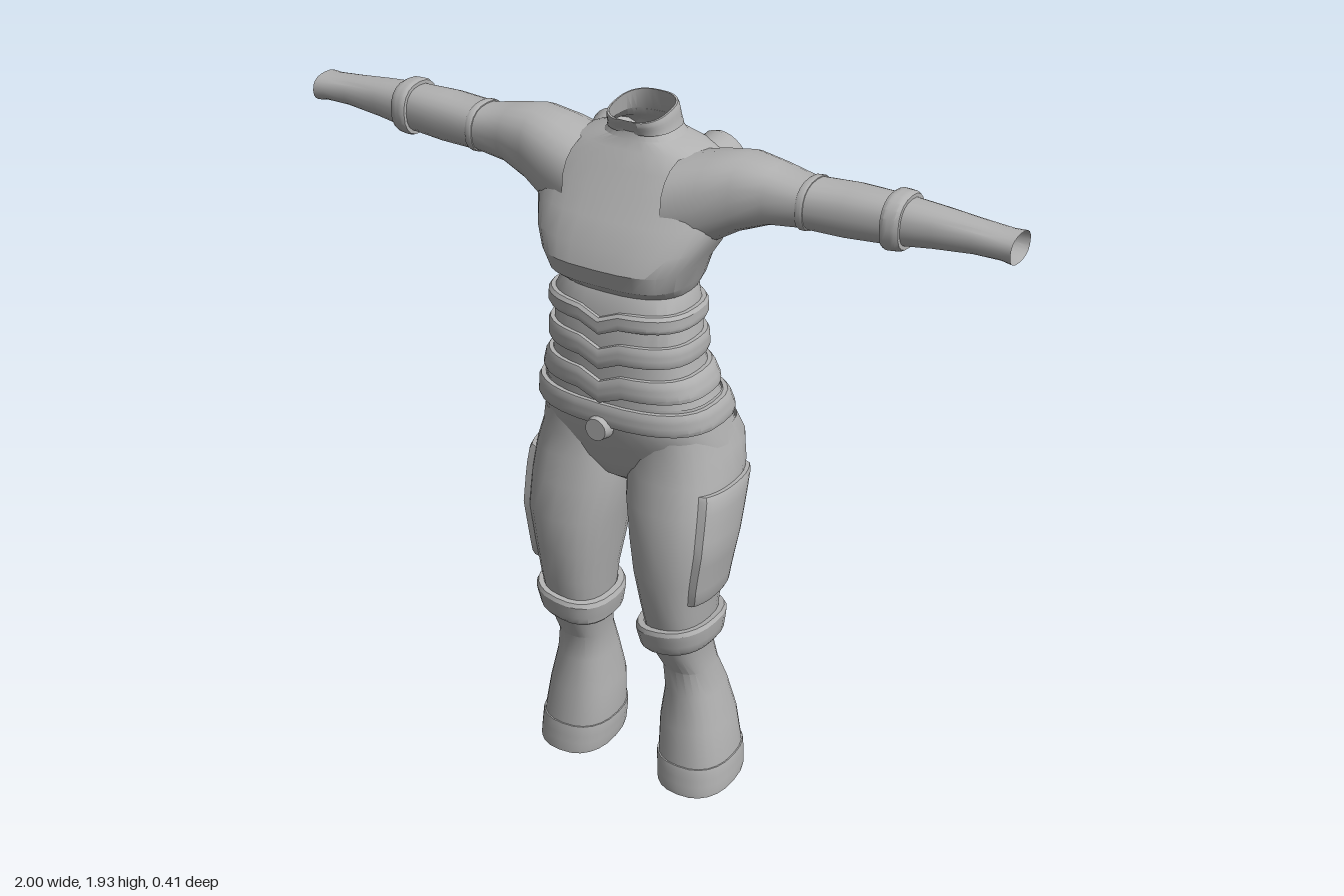
import * as THREE from 'three';
import { toCreasedNormals } from 'three/addons/utils/BufferGeometryUtils.js';

const cloth = new THREE.MeshStandardMaterial({ color: 0xb2b2b2 });
cloth.name = 'greyCloth';
cloth.side = THREE.DoubleSide;

// A ring is [t, a0, a1, b0, b1, power, outset]: a rounded box outline at station t.
// Upright parts use t = y, a = x, b = z; arms use t = x, a = y, b = z.
const upright = (t, a, b) => [a, t, b];
const sideways = (t, a, b) => [t, a, b];

function loft(name, rings, { map = upright, arc = [0, Math.PI * 2], n = 32, warp, side = 1 } = {}) {
  const pos = [], index = [];
  const open = arc[1] - arc[0] < 6.28;
  for (const [t, a0, a1, b0, b1, power = 2.4, outset = 0] of rings) {
    for (let i = 0; i <= n; i++) {
      const u = arc[0] + (arc[1] - arc[0]) * i / n;
      const d = open && (i === 0 || i === n) ? 0 : outset;
      const bend = v => (Math.abs(v) < 1e-6 ? 0 : Math.sign(v) * Math.abs(v) ** (2 / power));
      const a = (a0 + a1) / 2 + ((a1 - a0) / 2 + d) * bend(Math.cos(u));
      const b = (b0 + b1) / 2 + ((b1 - b0) / 2 + d) * bend(Math.sin(u));
      const p = map(t, a, b);
      if (warp) p[1] = warp(...p);
      pos.push(p[0] * side, p[1], p[2]);
    }
  }
  for (let r = 0; r < rings.length - 1; r++) {
    for (let i = 0; i < n; i++) {
      const p = r * (n + 1) + i, q = p + n + 1;
      index.push(p, q, p + 1, p + 1, q, q + 1);
    }
  }
  const g = new THREE.BufferGeometry();
  g.setAttribute('position', new THREE.Float32BufferAttribute(pos, 3));
  g.setIndex(index);
  const mesh = new THREE.Mesh(toCreasedNormals(g, 0.5), cloth);
  mesh.name = name;
  return mesh;
}

// Outline of a lofted part at any station, pushed out by d
function at(rings, t, d) {
  let i = 0;
  const up = rings[1][0] > rings[0][0];
  while (i < rings.length - 2 && (up ? t > rings[i + 1][0] : t < rings[i + 1][0])) i++;
  const p = rings[i], q = rings[i + 1], k = (t - p[0]) / (q[0] - p[0]);
  const r = [0, 1, 2, 3, 4, 5].map(j => THREE.MathUtils.lerp(p[j] ?? 2.4, q[j] ?? 2.4, k));
  r[6] = d;
  return r;
}

// Raised strip that follows a lofted part between two stations
function band(name, rings, t0, t1, d, options = {}) {
  const { steps = 3, ...rest } = options;
  const e = Math.min(Math.abs(t1 - t0) * 0.2, 0.012) * Math.sign(t1 - t0);
  const list = [at(rings, t0, 0), at(rings, t0, d * 0.7)];
  for (let i = 0; i <= steps; i++) list.push(at(rings, t0 + e + (t1 - t0 - 2 * e) * i / steps, d));
  list.push(at(rings, t1, d * 0.7), at(rings, t1, 0));
  return loft(name, list, rest);
}

const sym = (y, w, back, front, power = 2.6) => [y, -w, w, back, front, power];

const torso = [
  sym(1.18, 0.235, -0.14, 0.165), sym(1.3, 0.195, -0.1, 0.168), sym(1.45, 0.19, -0.09, 0.168),
  sym(1.49, 0.175, -0.095, 0.15), sym(1.52, 0.19, -0.105, 0.185, 3), sym(1.57, 0.205, -0.12, 0.203, 3),
  sym(1.62, 0.235, -0.135, 0.187, 2.8), sym(1.68, 0.26, -0.15, 0.15), sym(1.74, 0.268, -0.16, 0.11),
  sym(1.79, 0.25, -0.163, 0.08), sym(1.83, 0.175, -0.15, 0.055), sym(1.853, 0.1, -0.13, 0.04),
  sym(1.875, 0.08, -0.115, 0.036), sym(1.918, 0.074, -0.105, 0.052),
];
const pelvis = [
  sym(1.2, 0.235, -0.135, 0.165), sym(1.12, 0.248, -0.175, 0.163), sym(1.06, 0.26, -0.195, 0.138),
  sym(1.0, 0.2, -0.165, 0.125), sym(0.95, 0.08, -0.12, 0.1), sym(0.915, 0.012, -0.06, 0.05),
];
const arm = [
  [0.14, 1.6, 1.83, -0.14, 0.12], [0.22, 1.62, 1.847, -0.14, 0.1], [0.3, 1.668, 1.86, -0.125, 0.075],
  [0.38, 1.7, 1.847, -0.11, 0.055], [0.46, 1.71, 1.83, -0.1, 0.045], [0.58, 1.71, 1.838, -0.1, 0.04],
  [0.7, 1.717, 1.835, -0.096, 0.028], [0.8, 1.73, 1.827, -0.09, 0.017], [0.9, 1.74, 1.816, -0.088, 0.01],
  [0.97, 1.742, 1.81, -0.088, 0.012], [1.0, 1.737, 1.81, -0.095, 0.016],
];
const leg = [
  [1.1, 0.02, 0.25, -0.17, 0.13], [1.04, 0, 0.265, -0.203, 0.13], [0.98, 0, 0.28, -0.187, 0.14],
  [0.9, 0.008, 0.285, -0.15, 0.155], [0.8, 0.03, 0.283, -0.115, 0.168], [0.7, 0.045, 0.265, -0.1, 0.163],
  [0.6, 0.065, 0.25, -0.085, 0.15], [0.52, 0.075, 0.243, -0.075, 0.13], [0.45, 0.088, 0.232, -0.068, 0.11],
  [0.38, 0.1, 0.235, -0.085, 0.07], [0.3, 0.1, 0.25, -0.12, 0.065], [0.2, 0.085, 0.275, -0.145, 0.078],
  [0.1, 0.083, 0.292, -0.15, 0.087], [0.01, 0.09, 0.298, -0.148, 0.096],
];

// The collar rises to the back, the hem lifts at the heel
const collarSlope = (x, y, z) => (y > 1.86 ? y - 0.18 * (z + 0.025) * Math.min(1, (y - 1.86) / 0.05) : y);
const hemSlope = (x, y, z) => (y < 0.2 ? y + (0.2 - y) / 0.2 * (0.005 - 0.12 * (z + 0.025)) : y);
// Waist bands dip to a point at the centre front
const centreDip = (x, y, z) => (z > 0.1 ? y - 0.025 * Math.max(0, 1 - Math.abs(x) / 0.06) : y);
// Knee bands sit higher on the outside
const kneeTilt = (x, y) => y + (x - 0.16) * 0.15;

function backDisc(s) {
  const profile = [[0, 0.03], [0.018, 0.03], [0.024, 0.018], [0.032, 0.018], [0.036, 0.024], [0.042, 0.016],
    [0.048, 0.028], [0.062, 0.028], [0.07, 0.016], [0.07, -0.04]].map(p => new THREE.Vector2(...p));
  const disc = new THREE.Mesh(toCreasedNormals(new THREE.LatheGeometry(profile, 24), 0.5), cloth);
  disc.name = 'backDisc';
  disc.position.set(s * 0.152, 1.775, -0.148);
  disc.quaternion.setFromUnitVectors(new THREE.Vector3(0, 1, 0), new THREE.Vector3(s * 0.2, 0.38, -1).normalize());
  return disc;
}

export function createModel() {
  const model = new THREE.Group();
  model.name = 'bodysuit';

  // Trunk, collar, belt
  model.add(loft('torso', torso, { warp: collarSlope }));
  model.add(loft('pelvis', pelvis));
  model.add(band('collar', torso, 1.87, 1.917, 0.007,
    { warp: collarSlope, arc: [Math.PI / 2 + 0.12, Math.PI * 2.5 - 0.12] }));
  for (const [t0, t1] of [[1.41, 1.455], [1.315, 1.37], [1.22, 1.28]]) {
    model.add(band('waistBand', torso, t0, t1, 0.015, { warp: centreDip }));
  }
  model.add(band('belt', pelvis, 1.13, 1.192, 0.016));
  const buckle = new THREE.Mesh(
    toCreasedNormals(new THREE.CylinderGeometry(0.03, 0.036, 0.03, 16), 0.5), cloth);
  buckle.name = 'buckle';
  buckle.rotation.x = Math.PI / 2;
  buckle.position.set(0, 1.125, 0.18);
  model.add(buckle);

  // Limbs, mirrored
  for (const side of [1, -1]) {
    const sleeve = { map: sideways, n: 20, side };
    model.add(loft('arm', arm, sleeve));
    model.add(band('elbowSeam', arm, 0.465, 0.485, 0.004, sleeve));
    model.add(band('forearmBand', arm, 0.682, 0.728, 0.013, sleeve));

    model.add(loft('leg', leg, { n: 24, side, warp: hemSlope }));
    model.add(band('thighPocket', leg, 0.96, 0.64, 0.015, { n: 12, side, arc: [-0.75, 0.75], steps: 8 }));
    model.add(band('kneeBand', leg, 0.55, 0.47, 0.023, { n: 24, side, warp: kneeTilt }));
    model.add(band('bootHem', leg, 0.095, 0.012, 0.005, { n: 24, side, warp: hemSlope }));
    model.add(backDisc(side));
  }
  return model;
}
